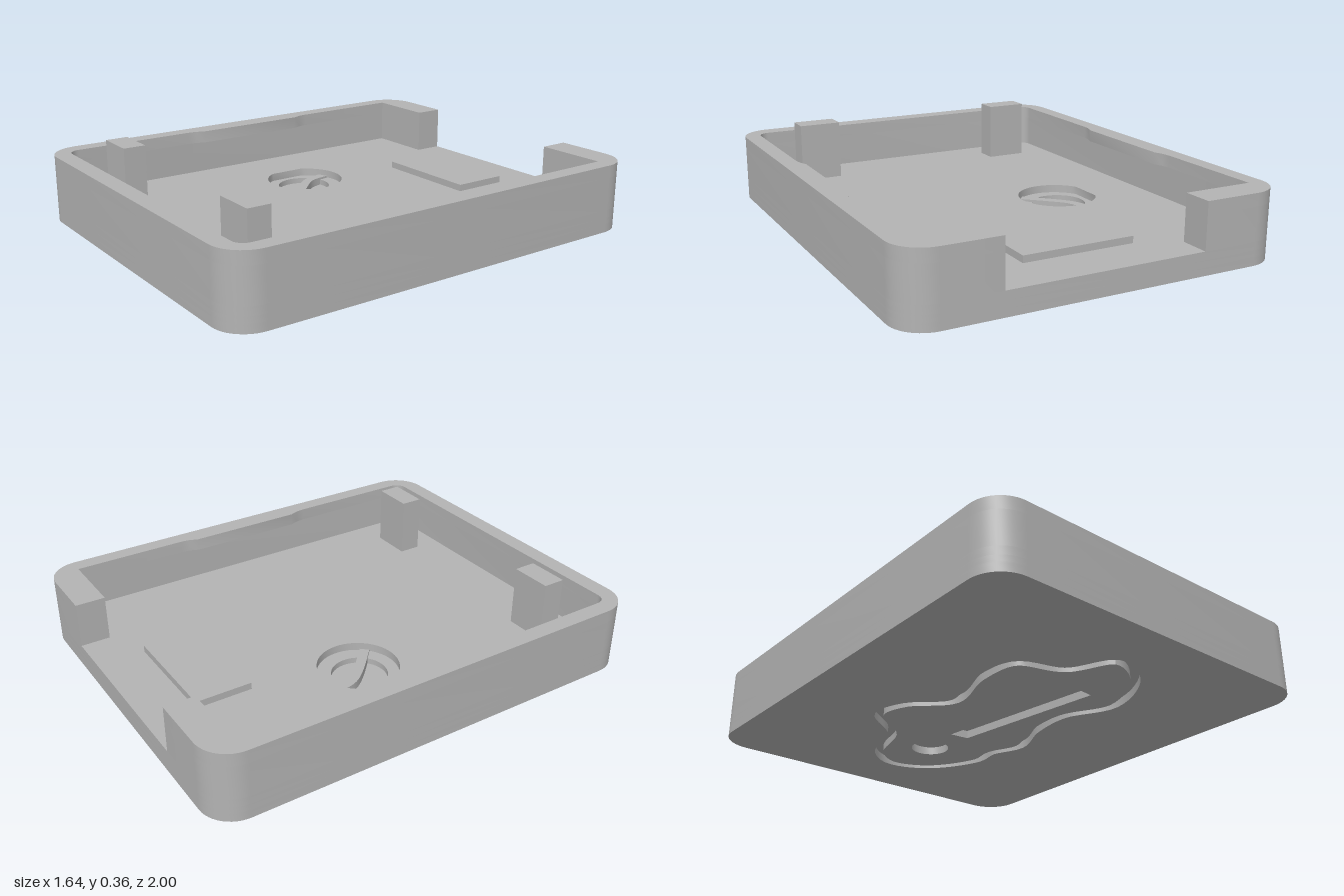
import * as THREE from 'three';
import { toCreasedNormals } from 'three/addons/utils/BufferGeometryUtils.js';

const V = (x, z) => new THREE.Vector2(x, z);

// Points of an arc in plan
function arc(cx, cz, r, from, to, n = 12) {
  return Array.from({ length: n + 1 }, (_, i) => {
    const a = from + ((to - from) * i) / n;
    return V(cx + r * Math.cos(a), cz + r * Math.sin(a));
  });
}

export function createModel() {
  const group = new THREE.Group();
  const grey = new THREE.MeshStandardMaterial({ color: 0xb3b3b3 });
  const H = Math.PI / 2;

  // Extrude a plan outline (x, z) between two heights
  function slab(name, outline, y0, y1, holes = []) {
    const shape = new THREE.Shape(outline);
    shape.holes = holes.map((h) => new THREE.Path(h));
    const geo = new THREE.ExtrudeGeometry(shape, { depth: y1 - y0, bevelEnabled: false });
    geo.rotateX(H).translate(0, y1, 0);
    const mesh = new THREE.Mesh(toCreasedNormals(geo, 0.6), grey);
    mesh.name = name;
    group.add(mesh);
    return mesh;
  }

  function block(name, x0, x1, y0, y1, z0, z1) {
    const geo = new THREE.BoxGeometry(x1 - x0, y1 - y0, z1 - z0);
    const mesh = new THREE.Mesh(geo, grey);
    mesh.position.set((x0 + x1) / 2, (y0 + y1) / 2, (z0 + z1) / 2);
    mesh.name = name;
    group.add(mesh);
  }

  const grooveTop = 0.035, wellFloor = 0.04, recessFloor = 0.065, floorTop = 0.1, rim = 0.3;
  const R = 0.14, X = 0.82 - R, Z = 1 - R;
  const outer = [
    ...arc(X, -Z, R, -H, 0), ...arc(X, Z, R, 0, H),
    ...arc(-X, Z, R, H, 2 * H), ...arc(-X, -Z, R, 2 * H, 3 * H),
  ];

  // Wavy groove engraved under the floor
  const wave = new THREE.CatmullRomCurve3([
    [0.26, -0.45], [0.13, -0.67], [-0.045, -0.735], [-0.17, -0.65], [-0.25, -0.42],
    [-0.42, -0.27], [-0.39, -0.12], [-0.25, 0.04], [-0.31, 0.28], [-0.29, 0.48],
    [-0.1, 0.56], [0.01, 0.74], [0.18, 0.67], [0.3, 0.43], [0.21, 0.21],
    [0.23, 0.0], [0.3, -0.18], [0.25, -0.33],
  ].map(([x, z]) => new THREE.Vector3(x, 0, z)), true);
  const offsetWave = (d) => Array.from({ length: 120 }, (_, i) => {
    const p = wave.getPointAt(i / 120), t = wave.getTangentAt(i / 120);
    return V(p.x - t.z * d, p.z + t.x * d);
  });
  const sideA = offsetWave(0.02), sideB = offsetWave(-0.02);
  const area = (p) => Math.abs(THREE.ShapeUtils.area(p));
  const [big, small] = area(sideA) > area(sideB) ? [sideA, sideB] : [sideB, sideA];

  // Round and long sunken marks inside the groove
  const roundMark = arc(-0.015, -0.456, 0.085, 0, 4 * H, 40).slice(0, -1);
  const longMark = [V(0.145, 0.45), V(0.055, 0.46), V(-0.04, -0.26), V(0.045, -0.25)];

  // Recess in the floor with one flattened side
  const flat = Math.acos(0.155 / 0.175);
  const recess = arc(-0.34, -0.08, 0.175, -Math.PI + flat, Math.PI - flat, 44);
  const well = arc(-0.35, -0.08, 0.12, 0, 4 * H, 40).slice(0, -1);

  // Layered floor
  slab('undersideSurround', outer, 0, grooveTop, [big]);
  slab('undersidePanel', small, 0, grooveTop, [roundMark, longMark]);
  slab('floorCore', outer, grooveTop, wellFloor);
  slab('floorLower', outer, wellFloor, recessFloor, [well]);
  slab('floorUpper', outer, recessFloor, floorTop, [recess]);

  // Curved band crossing the recess
  const bandEdge = (pts) => new THREE.SplineCurve(pts).getPoints(14);
  slab('recessBand', [
    ...bandEdge([V(-0.43, -0.225), V(-0.41, -0.14), V(-0.35, -0.06), V(-0.235, 0.05)]),
    ...bandEdge([V(-0.205, 0.02), V(-0.3, -0.07), V(-0.365, -0.145), V(-0.388, -0.24)]),
  ], wellFloor, 0.075);

  // Wall open at the back; ridge adds the side thickening
  function wallOutline(ridge) {
    const edge = ridge ? [[0.747, -0.36], [0.742, -0.32], [0.727, -0.28], [0.727, 0.24], [0.742, 0.28], [0.747, 0.32]] : [];
    const r = 0.05, ix = 0.747 - r, iz = 0.922 - r;
    const innerLeft = [V(0.435, -0.87), V(0.747, -0.87), ...edge.map(([x, z]) => V(x, z)), ...arc(ix, iz, r, 0, H, 8)];
    const innerRight = innerLeft.map((p) => V(-p.x, p.y)).reverse();
    return [V(0.435, -1), ...outer, V(-0.435, -1), ...innerRight.reverse(), ...innerLeft.reverse()];
  }
  slab('wallLower', wallOutline(false), floorTop, 0.245);
  slab('wallUpperWithRidges', wallOutline(true), 0.245, rim);

  // Front posts and raised pad
  block('leftPost', 0.41, 0.6, floorTop, 0.365, 0.7, 0.8);
  block('rightPost', -0.6, -0.415, floorTop, 0.365, 0.7, 0.8);
  block('raisedPad', -0.25, 0.245, floorTop, 0.13, -0.79, -0.54);

  return group;
}
